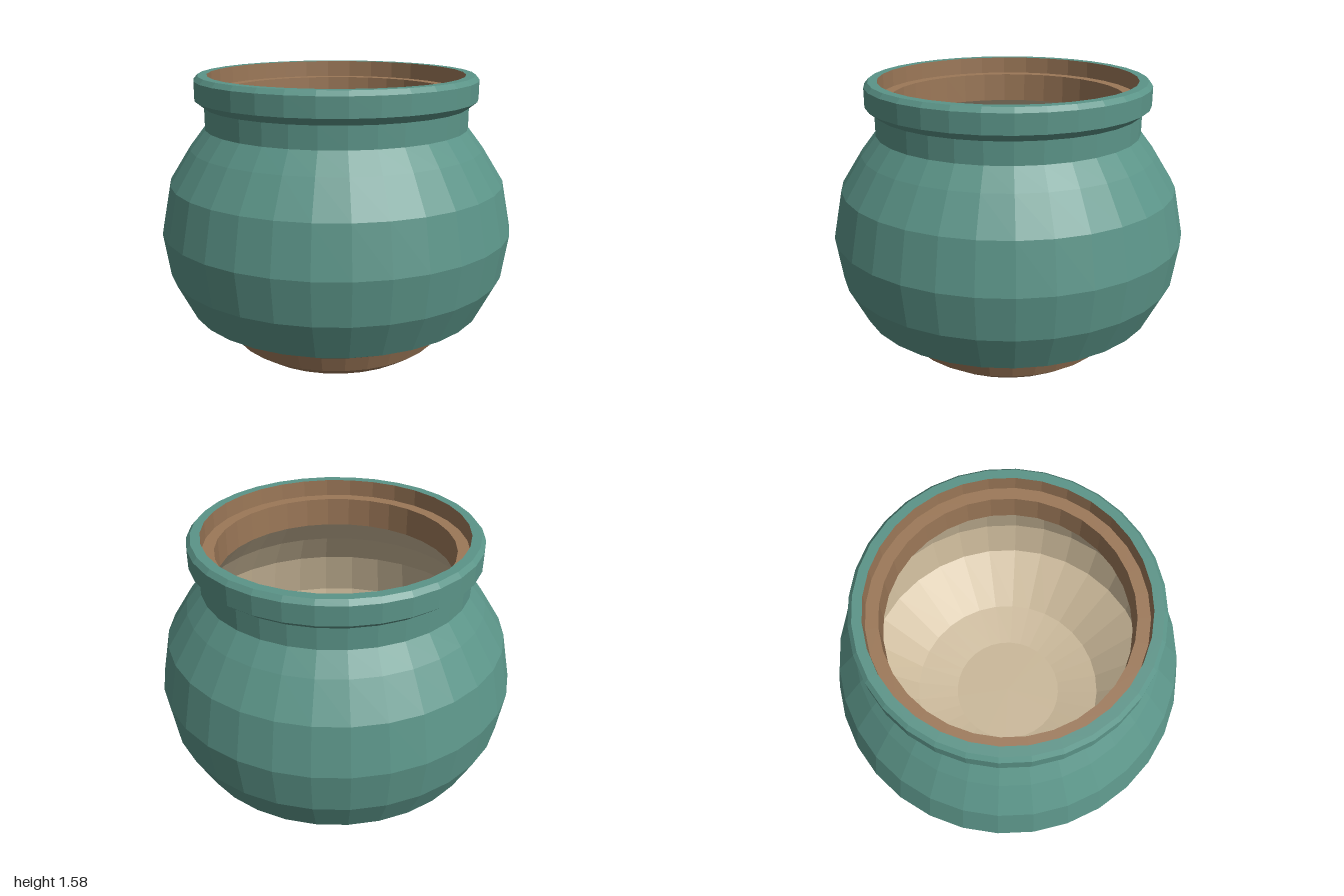
import * as THREE from 'three';

const SIDES = 32;

function flat(name, color) {
  const m = new THREE.MeshStandardMaterial({ color });
  m.name = name;
  m.flatShading = true;
  return m;
}

// Faceted ring turned from a profile of [radius, height] points
function turned(name, material, profile) {
  const points = profile.map(([r, y]) => new THREE.Vector2(r, y));
  const mesh = new THREE.Mesh(new THREE.LatheGeometry(points, SIDES), material);
  mesh.name = name;
  return mesh;
}

export function createModel() {
  const glaze = flat('tealGlaze', 0x5b9488);
  const clay = flat('brownClay', 0x9c7858);
  const lining = flat('beigeLining', 0xc9b798);

  const pot = new THREE.Group();
  pot.name = 'pot';

  // Unglazed foot with its flat underside
  pot.add(turned('foot', clay, [[0, 0], [0.53, 0], [0.615, 0.06], [0.655, 0.155]]));

  // Round belly
  pot.add(turned('belly', glaze, [
    [0.655, 0.155], [0.86, 0.262], [0.965, 0.475], [1, 0.72],
    [0.945, 0.99], [0.825, 1.18], [0.74, 1.29],
  ]));

  // Neck and overhanging lip
  pot.add(turned('neck', glaze, [[0.74, 1.29], [0.74, 1.41]]));
  pot.add(turned('lip', glaze, [
    [0.74, 1.41], [0.79, 1.45], [0.79, 1.555], [0.768, 1.58], [0.717, 1.58],
  ]));

  // Stepped inner rim with a seat for a lid
  pot.add(turned('innerRim', clay, [
    [0.717, 1.58], [0.717, 1.485], [0.65, 1.485], [0.65, 1.32],
  ]));

  // Hollow inside, following the belly down to a shallow floor
  pot.add(turned('inside', lining, [
    [0.65, 1.32], [0.77, 1.17], [0.88, 0.985], [0.93, 0.72],
    [0.88, 0.48], [0.58, 0.24], [0.33, 0.2], [0, 0.2],
  ]));

  return pot;
}
